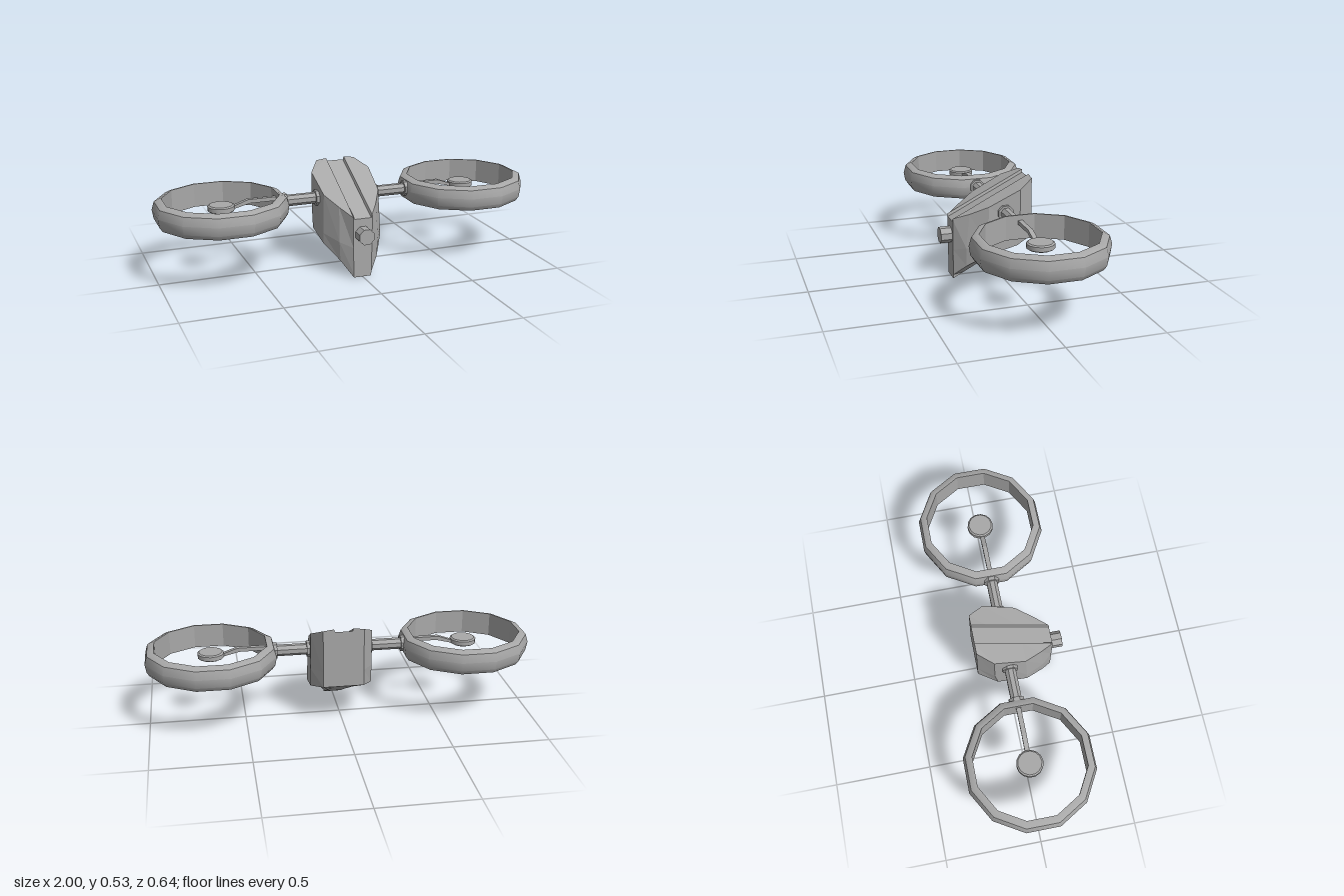
import * as THREE from 'three';
import { toCreasedNormals } from 'three/addons/utils/BufferGeometryUtils.js';

const grey = new THREE.MeshStandardMaterial({ color: 0xa8a8a8 });
grey.name = 'grey';

function add(parent, name, geometry) {
  const mesh = new THREE.Mesh(geometry, grey);
  mesh.name = name;
  parent.add(mesh);
  return mesh;
}

function flat(geometry) {
  const g = geometry.index ? geometry.toNonIndexed() : geometry;
  g.computeVertexNormals();
  return g;
}

// Faceted hull: half sections from front to back, mirrored in x.
// Points run: keel edge, lower edge, side crease, shoulder, ridge, groove.
function hullGeometry() {
  const halves = [
    [[.047, 0, .25], [.048, .02, .25], [.05, .16, .25], [.052, .322, .25], [.05, .328, .25], [.045, .312, .25]],
    [[.047, .031, .19], [.1, .08, .193], [.105, .18, .195], [.1, .36, .175], [.05, .364, .175], [.045, .349, .175]],
    [[.047, .081, .095], [.158, .15, .095], [.158, .205, .095], [.15, .405, .085], [.05, .41, .085], [.045, .395, .085]],
    [[.047, .165, -.065], [.16, .187, -.063], [.16, .29, -.078], [.16, .485, -.08], [.05, .492, -.08], [.045, .477, -.08]],
    [[.047, .215, -.16], [.105, .215, -.16], [.105, .3, -.16], [.105, .525, -.16], [.05, .532, -.16], [.045, .517, -.16]],
  ];
  const rows = halves.map(h => [...h, ...h.map(([x, y, z]) => [-x, y, z]).reverse()]);
  const out = [];
  const tri = (a, b, c) => out.push(...a, ...b, ...c);
  const n = rows[0].length, last = rows.length - 1;
  for (let i = 0; i < n; i++) {
    const j = (i + 1) % n;
    for (let r = 0; r < last; r++) {
      const A = rows[r], B = rows[r + 1];
      tri(A[i], B[i], A[j]);
      tri(B[i], B[j], A[j]);
    }
    tri([0, .16, .25], rows[0][i], rows[0][j]);
    tri([0, .37, -.16], rows[last][j], rows[last][i]);
  }
  const g = new THREE.BufferGeometry();
  g.setAttribute('position', new THREE.Float32BufferAttribute(out, 3));
  g.computeVertexNormals();
  return g;
}

// Twelve-sided surface of revolution; radii are measured to the flats.
function revolve(points) {
  const k = 1 / Math.cos(Math.PI / 12);
  return new THREE.LatheGeometry(points.map(([r, y]) => new THREE.Vector2(r * k, y)), 12, Math.PI / 12);
}

function rod(parent, name, radius, x0, x1) {
  const g = new THREE.CylinderGeometry(radius, radius, x1 - x0, 8);
  g.rotateY(Math.PI / 8);
  g.rotateZ(Math.PI / 2);
  g.translate((x0 + x1) / 2, .37, 0);
  add(parent, name, flat(g));
}

function rotorUnit(side) {
  const unit = new THREE.Group();
  unit.name = side > 0 ? 'leftRotor' : 'rightRotor';

  // Arm with a collar at each end
  rod(unit, 'arm', .03, .14, .36);
  rod(unit, 'bodyCollar', .042, .15, .172);
  rod(unit, 'ringCollar', .042, .326, .348);

  // Duct ring: rounded outside, faceted inner wall
  const ring = new THREE.Group();
  ring.name = 'ductRing';
  ring.position.x = .667;
  ring.scale.x = 1.035;
  add(ring, 'ringOuter', toCreasedNormals(revolve(
    [[.275, .303], [.3, .303], [.314, .325], [.321, .37], [.309, .413], [.283, .427], [.275, .427]]), .6));
  add(ring, 'ringInner', flat(revolve([[.275, .427], [.275, .303]])));
  unit.add(ring);

  // Cranked strut carrying the hub
  const shape = new THREE.Shape([[.34, .38], [.52, .38], [.6, .36], [.66, .36], [.66, .375], [.6, .375], [.53, .4], [.34, .4]]
    .map(([x, y]) => new THREE.Vector2(x, y)));
  const strut = new THREE.ExtrudeGeometry(shape, { depth: .024, bevelEnabled: false });
  strut.translate(0, 0, -.012);
  add(unit, 'strut', strut);

  // Hub disc with chamfered rims
  const hub = new THREE.LatheGeometry([[0, .352], [.058, .352], [.068, .358], [.068, .38], [.06, .386], [0, .386]]
    .map(([r, y]) => new THREE.Vector2(r, y)), 14);
  add(unit, 'hub', toCreasedNormals(hub, .55)).position.x = .667;

  if (side < 0) unit.rotation.y = Math.PI;
  return unit;
}

export function createModel() {
  const model = new THREE.Group();
  model.name = 'twinRotorDrone';
  add(model, 'hull', hullGeometry());

  // Octagonal lens on the nose
  const lens = new THREE.CylinderGeometry(.043, .043, .065, 8);
  lens.rotateY(Math.PI / 8);
  lens.rotateX(Math.PI / 2);
  lens.translate(0, .23, .277);
  add(model, 'lens', flat(lens));

  for (const side of [1, -1]) model.add(rotorUnit(side));
  return model;
}
